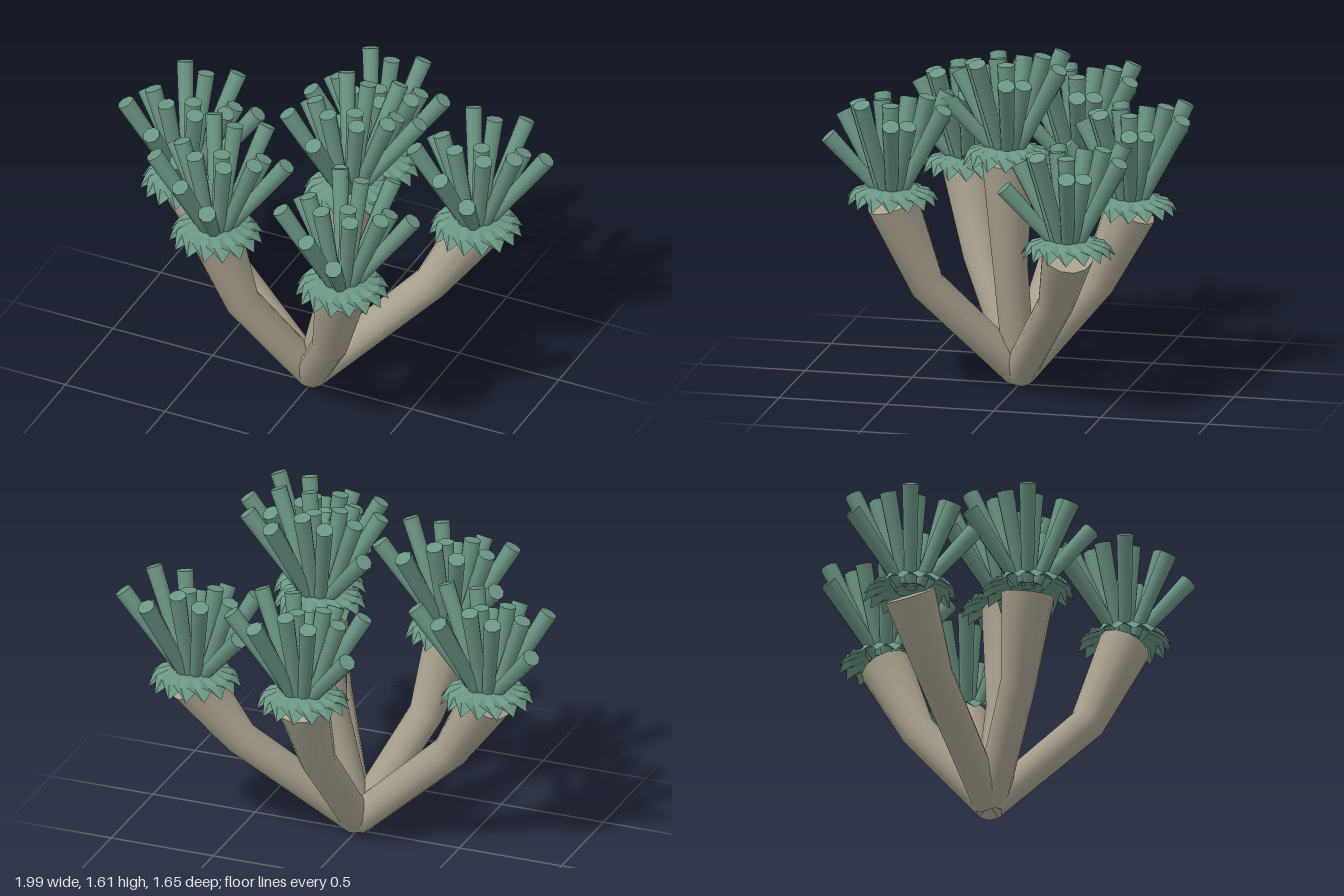
import * as THREE from 'three';

const stalkMat = new THREE.MeshStandardMaterial({ color: 0xaaa28f, side: THREE.DoubleSide });
const polypMat = new THREE.MeshStandardMaterial({ color: 0x6b9583 });
const frillMat = new THREE.MeshStandardMaterial({ color: 0x6b9583, side: THREE.DoubleSide, flatShading: true });

// Polyp centres and the bend of each stalk
const polyps = [
  { head: [-0.68, 0.86, -0.11], bend: [-0.48, 0.51, -0.07] },
  { head: [-0.33, 0.94, 0.32], bend: [-0.24, 0.53, 0.24] },
  { head: [0.19, 1.13, 0.01], bend: [0.14, 0.6, 0.01] },
  { head: [0.39, 0.96, 0.5], bend: [0.265, 0.51, 0.365] },
  { head: [0.05, 0.89, -0.53], bend: [0.04, 0.51, -0.37] },
  { head: [0.64, 0.83, -0.38], bend: [0.46, 0.51, -0.28] },
];

// Tentacle tips as [distance from axis, height], placed by the golden angle
const tips = [
  [0.03, 0.42], [0.1, 0.42], [0.17, 0.47], [0.17, 0.45], [0.19, 0.41], [0.22, 0.37], [0.25, 0.36],
  [0.26, 0.46], [0.25, 0.47], [0.28, 0.4], [0.3, 0.44], [0.29, 0.28], [0.33, 0.3], [0.33, 0.4],
];

// Grid surface through rings of points, optionally capped at either end
function loft(rings, capStart, capEnd) {
  const n = rings[0].length, pos = [], idx = [];
  rings.forEach(ring => ring.forEach(p => pos.push(p.x, p.y, p.z)));
  for (let r = 0; r < rings.length - 1; r++) {
    for (let i = 0; i < n; i++) {
      const a = r * n + i, b = r * n + (i + 1) % n;
      idx.push(a, b, a + n, b, b + n, a + n);
    }
  }
  const cap = (ring, flip) => {
    const start = pos.length / 3;
    ring.forEach(p => pos.push(p.x, p.y, p.z));
    for (let i = 1; i < n - 1; i++) {
      if (flip) idx.push(start, start + i + 1, start + i);
      else idx.push(start, start + i, start + i + 1);
    }
  };
  if (capStart) cap(rings[0], true);
  if (capEnd) cap(rings[rings.length - 1], false);
  const geo = new THREE.BufferGeometry();
  geo.setAttribute('position', new THREE.Float32BufferAttribute(pos, 3));
  geo.setIndex(idx);
  geo.computeVertexNormals();
  return geo;
}

// Bent, widening stalk with cross-sections square to its path
function stalkGeometry(head, bend) {
  const base = new THREE.Vector3(0, 0.06, 0);
  const mid = new THREE.Vector3(...bend);
  const end = new THREE.Vector3(head[0], head[1] - 0.03, head[2]);
  const d1 = mid.clone().sub(base).normalize();
  const d2 = end.clone().sub(mid).normalize();
  const dirs = [d1, d1.clone().add(d2).normalize(), d2];
  const radii = [0.075, 0.082, 0.12];
  const up = new THREE.Vector3(0, 1, 0);
  const rings = [base, mid, end].map((c, k) => {
    const q = new THREE.Quaternion().setFromUnitVectors(up, dirs[k]);
    return Array.from({ length: 12 }, (_, i) => {
      const a = -i / 12 * Math.PI * 2;
      return new THREE.Vector3(Math.cos(a), 0, Math.sin(a)).multiplyScalar(radii[k]).applyQuaternion(q).add(c);
    });
  });
  return loft(rings, true, true);
}

// Drooping pleated collar with a notched hem
function frillGeometry() {
  const n = 32;
  const profile = [[0.01, 0.04, 0, 0], [0.11, 0.035, 0, 0], [0.17, 0.012, 0.006, 0.006], [0.205, -0.02, 0.012, -0.02]];
  const rings = profile.map(([r, y, dr, dy]) => Array.from({ length: n }, (_, i) => {
    const a = -i / n * Math.PI * 2, s = i % 2 ? 1 : -1;
    return new THREE.Vector3(Math.cos(a) * (r + s * dr), y + s * dy, Math.sin(a) * (r + s * dr));
  }));
  return loft(rings.reverse(), false, false);
}

function createPolyp(frillGeo) {
  const polyp = new THREE.Group();
  polyp.name = 'polyp';
  const frill = new THREE.Mesh(frillGeo, frillMat);
  frill.name = 'frill';
  polyp.add(frill);
  // Tentacles fan outward, slightly thicker toward the tip
  tips.forEach(([r, h], i) => {
    const a = THREE.MathUtils.degToRad(i * 137.5);
    const out = new THREE.Vector3(Math.cos(a), 0, Math.sin(a));
    const root = out.clone().multiplyScalar(Math.min(0.05, r * 0.3)).setY(0.01);
    const tip = out.clone().multiplyScalar(r).setY(h);
    const dir = tip.clone().sub(root);
    const tentacle = new THREE.Mesh(new THREE.CylinderGeometry(0.041, 0.029, dir.length(), 8), polypMat);
    tentacle.position.copy(root).add(tip).multiplyScalar(0.5);
    tentacle.quaternion.setFromUnitVectors(new THREE.Vector3(0, 1, 0), dir.normalize());
    tentacle.name = 'tentacle';
    polyp.add(tentacle);
  });
  return polyp;
}

export function createModel() {
  const model = new THREE.Group();
  model.name = 'coral';
  const frillGeo = frillGeometry();
  for (const { head, bend } of polyps) {
    const stalk = new THREE.Mesh(stalkGeometry(head, bend), stalkMat);
    stalk.name = 'stalk';
    const polyp = createPolyp(frillGeo);
    polyp.position.set(...head);
    model.add(stalk, polyp);
  }
  return model;
}
